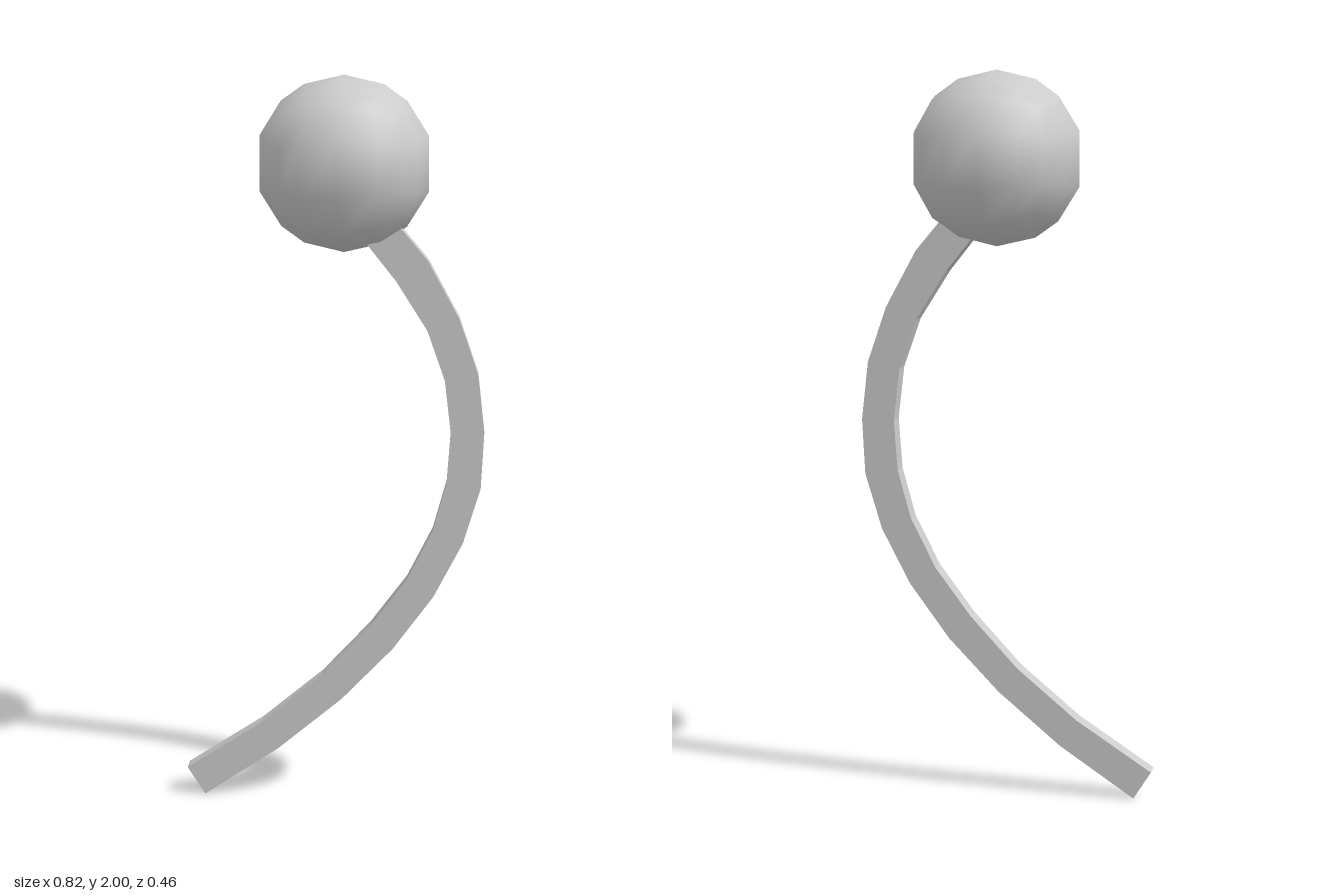
import * as THREE from 'three';

const material = new THREE.MeshStandardMaterial({ color: 0xcccccc });

// Ball: a subdivided cube pushed out to a sphere, with radial normals
function createBall(radius) {
  const geo = new THREE.BoxGeometry(2, 2, 2, 4, 3, 4);
  const pos = geo.attributes.position;
  const v = new THREE.Vector3();
  for (let i = 0; i < pos.count; i++) {
    v.fromBufferAttribute(pos, i).normalize();
    geo.attributes.normal.setXYZ(i, v.x, v.y, v.z);
    pos.setXYZ(i, v.x * radius * 1.01, v.y * radius, v.z * radius * 1.01);
  }
  const ball = new THREE.Mesh(geo, material);
  ball.name = 'ball';
  ball.position.set(0.024, 2 - radius, 0);
  return ball;
}

// Stem: a flat curved bar, bounded by its outer and inner edges
function createStem() {
  const outer = [
    [-0.362, 0], [-0.155, 0.138], [0.02, 0.283], [0.162, 0.43],
    [0.273, 0.58], [0.353, 0.733], [0.4, 0.887], [0.408, 1.04],
    [0.39, 1.2], [0.337, 1.354], [0.252, 1.51], [0.13, 1.655],
  ];
  const inner = [
    [-0.411, 0.077], [-0.2, 0.214], [-0.033, 0.352], [0.1, 0.495],
    [0.2, 0.628], [0.27, 0.766], [0.307, 0.9], [0.317, 1.04],
    [0.3, 1.184], [0.252, 1.32], [0.167, 1.454], [0.055, 1.595],
  ];
  const outline = [...outer, ...inner.reverse()].map(([x, y]) => new THREE.Vector2(x, y));
  const geo = new THREE.ExtrudeGeometry(new THREE.Shape(outline), {
    depth: 0.054, bevelEnabled: false,
  });
  const stem = new THREE.Mesh(geo, material);
  stem.name = 'stem';
  stem.position.z = 0.003;
  return stem;
}

export function createModel() {
  const model = new THREE.Group();
  model.name = 'ballOnCurvedStem';
  model.add(createBall(0.2375), createStem());
  return model;
}
